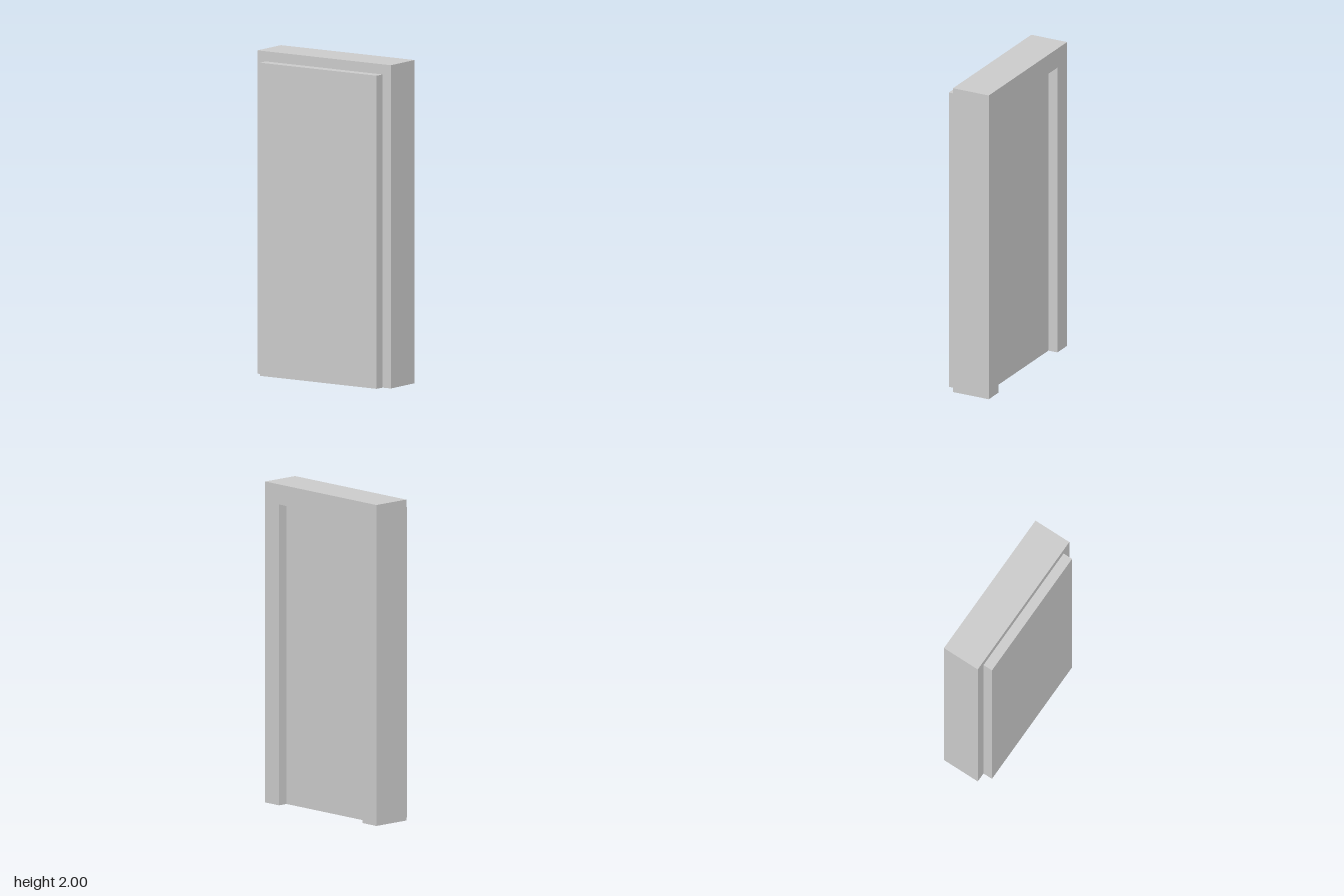
import * as THREE from 'three';

const BACK = -0.156, FRONT = 0.156; // overall depth
const STEP = 0.0625;                // reveal depth at the back, lip thickness at the front
const OPEN_W = 0.75, OPEN_H = 1.875; // opening in the frame

export function createModel() {
  const group = new THREE.Group();
  const material = new THREE.MeshStandardMaterial({ color: 0xcccccc, flatShading: true });

  const add = (name, geometry) => {
    const mesh = new THREE.Mesh(geometry, material);
    mesh.name = name;
    group.add(mesh);
  };

  // Box standing on the floor between two depths
  const slab = (w, h, z0, z1) =>
    new THREE.BoxGeometry(w, h, z1 - z0).translate(0, h / 2, (z0 + z1) / 2);

  // Door frame: two jambs and a head, open at the floor
  const o = OPEN_W / 2;
  const outline = new THREE.Shape([
    [-0.5, 0], [-o, 0], [-o, OPEN_H], [o, OPEN_H],
    [o, 0], [0.5, 0], [0.5, 2], [-0.5, 2],
  ].map(([x, y]) => new THREE.Vector2(x, y)));
  const frameDepth = FRONT - STEP - BACK;
  add('doorFrame', new THREE.ExtrudeGeometry(outline, { depth: frameDepth, bevelEnabled: false })
    .translate(0, 0, BACK));

  // Door leaf, set back from the rear of the frame
  add('doorLeaf', slab(OPEN_W, OPEN_H, BACK + STEP, FRONT - STEP));

  // Wider front lip of the door, overlapping the frame
  add('doorLip', slab(OPEN_W + 2 * STEP, OPEN_H + STEP, FRONT - STEP, FRONT));

  return group;
}
